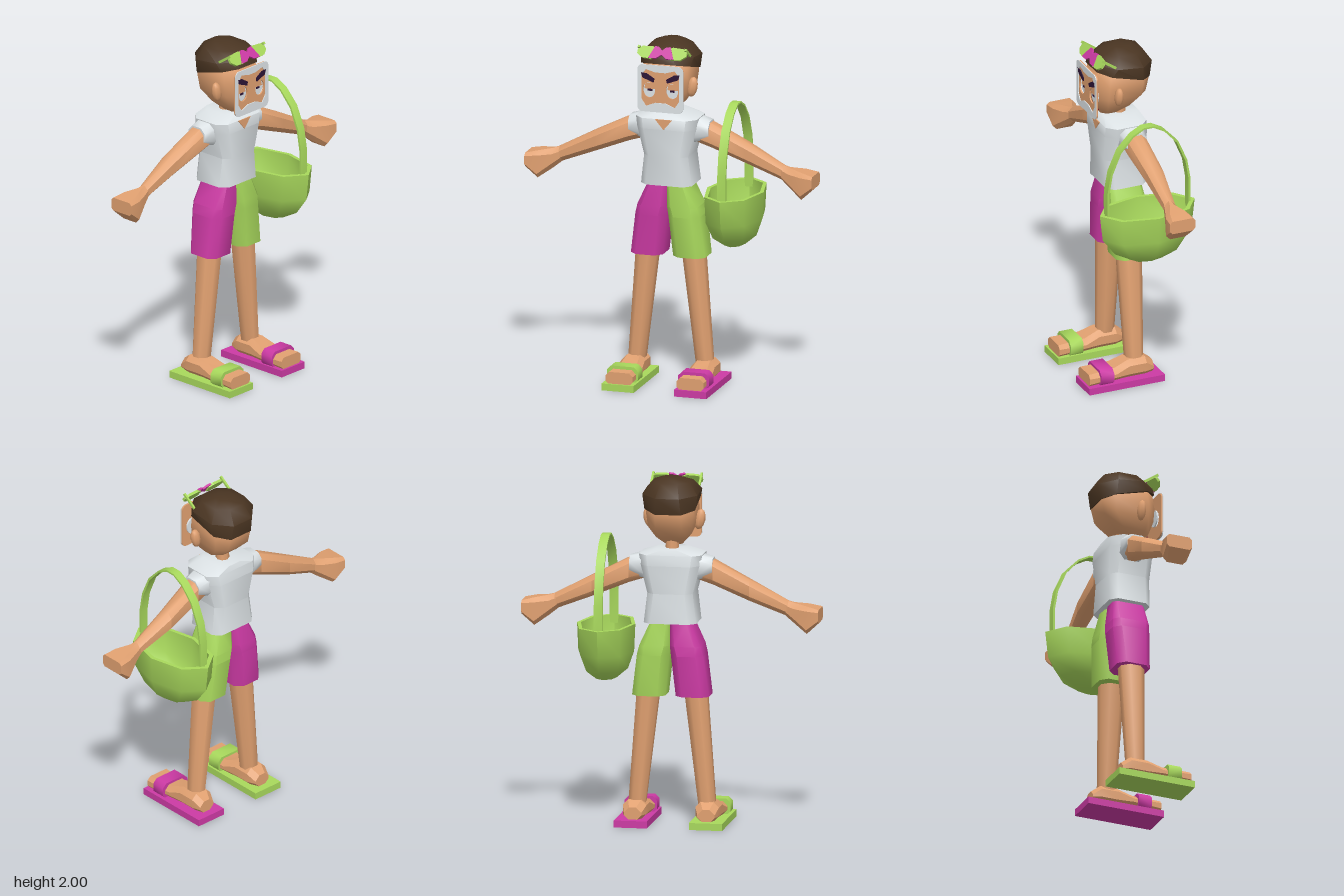
import * as THREE from 'three';
import { toCreasedNormals } from 'three/addons/utils/BufferGeometryUtils.js';

const mat = (name, color) => new THREE.MeshStandardMaterial({ name, color });

// Eight-sided ring (rectangle with cut corners) across one axis; slope tilts it along the second side
function oct(axis, t, a0, a1, b0, b1, c = 0.03, slope = 0) {
  c = Math.min(c, (a1 - a0) * 0.45, (b1 - b0) * 0.45);
  const pts = [[a0 + c, b0], [a1 - c, b0], [a1, b0 + c], [a1, b1 - c],
    [a1 - c, b1], [a0 + c, b1], [a0, b1 - c], [a0, b0 + c]];
  return pts.map(([a, b]) => {
    const h = t + slope * b;
    return axis === 'y' ? [a, h, b] : axis === 'x' ? [h, a, b] : [a, b, h];
  });
}

// Skin a stack of rings, close both ends and make every face point outward
function loft(rings, side = 1, crease = 0.8) {
  const n = rings[0].length, tris = [];
  const P = rings.map(r => r.map(([x, y, z]) => new THREE.Vector3(x * side, y, z)));
  const mid = r => r.reduce((s, p) => s.add(p), new THREE.Vector3()).divideScalar(n);
  const first = mid(P[0]), last = mid(P[P.length - 1]);
  for (let i = 0; i < n; i++) {
    const j = (i + 1) % n;
    tris.push([first, P[0][j], P[0][i]]);
    for (let k = 0; k < P.length - 1; k++) {
      tris.push([P[k][i], P[k][j], P[k + 1][j]], [P[k][i], P[k + 1][j], P[k + 1][i]]);
    }
    tris.push([last, P[P.length - 1][i], P[P.length - 1][j]]);
  }
  const cross = new THREE.Vector3();
  const volume = tris.reduce((v, [a, b, c]) => v + a.dot(cross.crossVectors(b, c)), 0);
  const out = [];
  for (const [a, b, c] of tris) for (const p of volume < 0 ? [a, c, b] : [a, b, c]) out.push(p.x, p.y, p.z);
  const g = new THREE.BufferGeometry();
  g.setAttribute('position', new THREE.Float32BufferAttribute(out, 3));
  return toCreasedNormals(g, crease);
}

const polygon = pts => new THREE.Shape(pts.map(p => new THREE.Vector2(...p)));
const plate = (shape, depth) => new THREE.ExtrudeGeometry(shape, { depth, bevelEnabled: false, curveSegments: 10 });

function roundRect(x0, x1, y0, y1, r, Type = THREE.Shape) {
  const s = new Type();
  s.absarc(x1 - r, y1 - r, r, 0, Math.PI / 2);
  s.absarc(x0 + r, y1 - r, r, Math.PI / 2, Math.PI);
  s.absarc(x0 + r, y0 + r, r, Math.PI, Math.PI * 1.5);
  s.absarc(x1 - r, y0 + r, r, Math.PI * 1.5, Math.PI * 2);
  s.closePath();
  return s;
}

export function createModel() {
  const model = new THREE.Group();
  const skin = mat('skin', 0xe0a070), shirt = mat('shirt white', 0xdde3e6), hairMat = mat('hair brown', 0x4a3522);
  const green = mat('lime green', 0xa8d85c), magenta = mat('magenta', 0xcc3aa4);
  const dark = mat('brow purple', 0x2c1436), red = mat('mouth red', 0x7a1c2c);
  const add = (name, geo, material, x = 0, y = 0, z = 0, parent = model) => {
    const m = new THREE.Mesh(geo, material);
    m.name = name;
    m.position.set(x, y, z);
    parent.add(m);
    return m;
  };

  // Torso with neckline
  add('shirt', loft([
    oct('y', 1.17, -0.15, 0.15, -0.13, 0.12, 0.04),
    oct('y', 1.34, -0.13, 0.13, -0.125, 0.125, 0.04),
    oct('y', 1.5, -0.172, 0.172, -0.13, 0.133, 0.05),
    oct('y', 1.56, -0.18, 0.18, -0.12, 0.13, 0.05),
    oct('y', 1.59, -0.085, 0.085, -0.11, 0.1, 0.04)]), shirt);
  add('neckline', plate(polygon([[-0.05, 1.56], [0, 1.5], [0.05, 1.56]]), 0.006), skin, 0, 0, 0.13);
  add('neck', new THREE.CylinderGeometry(0.035, 0.04, 0.14, 8), skin, 0, 1.62, -0.01);

  for (const s of [1, -1]) {
    const sideName = s > 0 ? 'left' : 'right';
    const add2 = (name, rings, material, crease) => add(sideName + name, loft(rings, s, crease), material);
    // Shorts
    add2('ShortsLeg', [
      oct('y', 0.75, 0.03, 0.22, -0.11, 0.09, 0.04),
      oct('y', 0.985, 0.005, 0.19, -0.125, 0.1, 0.04),
      oct('y', 1.04, 0, 0.175, -0.12, 0.1, 0.03),
      oct('y', 1.17, 0, 0.115, -0.1, 0.09, 0.02)], s > 0 ? green : magenta);
    // Bare leg and foot
    add2('Leg', [
      oct('y', 0.1, 0.155, 0.25, -0.06, 0.04, 0.028),
      oct('y', 0.76, 0.075, 0.2, -0.08, 0.065, 0.04),
      oct('y', 0.85, 0.07, 0.18, -0.08, 0.065, 0.04)], skin);
    add2('Foot', [
      oct('z', -0.11, 0.16, 0.26, 0.035, 0.11),
      oct('z', -0.06, 0.14, 0.275, 0.035, 0.145),
      oct('z', 0.045, 0.14, 0.275, 0.035, 0.145),
      oct('z', 0.13, 0.13, 0.285, 0.035, 0.115),
      oct('z', 0.298, 0.13, 0.29, 0.035, 0.108, 0.02)], skin, 0.6);
    // Sandal
    const sandal = s > 0 ? magenta : green;
    add(sideName + 'Sole', new THREE.BoxGeometry(0.19, 0.04, 0.465), sandal, s * 0.215, 0.02, 0.0775);
    add2('SandalStrap', [0.155, 0.235].map(z => oct('z', z, 0.118, 0.303, 0.03, 0.128, 0.025)), sandal);
    // Sleeve, arm and fist
    add2('Sleeve', [
      oct('x', 0.11, 1.41, 1.56, -0.085, 0.07),
      oct('x', 0.16, 1.42, 1.56, -0.085, 0.065),
      oct('x', 0.238, 1.438, 1.54, -0.075, 0.05)], shirt);
    add2('Arm', [
      oct('x', 0.14, 1.42, 1.54, -0.06, 0.04),
      oct('x', 0.24, 1.39, 1.53, -0.072, 0.042),
      oct('x', 0.45, 1.305, 1.425, -0.08, 0.02),
      oct('x', 0.68, 1.215, 1.305, -0.055, 0.005)], skin);
    add2('Fist', [
      oct('x', 0.65, 1.225, 1.315, -0.055, 0.005),
      oct('x', 0.7, 1.185, 1.3, -0.065, 0.02),
      oct('x', 0.78, 1.13, 1.288, -0.095, 0.05, 0.025),
      oct('x', 0.85, 1.195, 1.272, -0.1, 0.055, 0.015)], skin, 0.6);
    // Ear
    const ear = add(sideName + 'Ear', new THREE.SphereGeometry(1, 8, 6), skin, s * 0.145, 1.745, 0.055);
    ear.scale.set(0.032, 0.06, 0.026);
    ear.rotation.z = -s * 0.2;
    // Eye set on the face behind the mask opening
    const eye = add(sideName + 'Eye', new THREE.CylinderGeometry(1, 1, 0.008, 16), shirt, s * 0.068, 1.745, 0.168);
    eye.rotation.x = Math.PI / 2;
    eye.scale.set(0.042, 1, 0.05);
    add(sideName + 'Eyelid', plate(polygon([[-0.032, 0], [0.032, 0], [0.024, 0.034], [-0.024, 0.034]]), 0.004),
      skin, s * 0.068, 1.748, 0.172);
    add(sideName + 'Pupil', new THREE.BoxGeometry(0.026, 0.012, 0.005), dark, s * 0.066, 1.742, 0.175);
  }

  // Head and hair
  add('head', loft([
    oct('y', 1.605, -0.05, 0.05, 0, 0.115),
    oct('y', 1.65, -0.09, 0.09, -0.07, 0.138, 0.04),
    oct('y', 1.72, -0.125, 0.125, -0.14, 0.158, 0.05),
    oct('y', 1.8, -0.135, 0.135, -0.16, 0.165, 0.06),
    oct('y', 1.88, -0.13, 0.13, -0.155, 0.155, 0.06),
    oct('y', 1.95, -0.08, 0.08, -0.1, 0.1, 0.05)], 1, 1), skin);
  add('mouth', new THREE.BoxGeometry(0.07, 0.03, 0.02), red, 0, 1.645, 0.13);
  add('hair', loft([
    oct('y', 1.847, -0.145, 0.145, -0.165, 0.163, 0.07, 0.27),
    oct('y', 1.915, -0.158, 0.158, -0.182, 0.155, 0.09, 0.1),
    oct('y', 1.975, -0.11, 0.11, -0.13, 0.1, 0.06),
    oct('y', 2, -0.05, 0.05, -0.08, 0.02, 0.03)], 1, 0.9), hairMat);

  // Flat face mask with eye openings, whiskered border, moustache and brows
  const mask = new THREE.Group();
  mask.name = 'faceMask';
  model.add(mask);
  const face = roundRect(-0.133, 0.133, 1.62, 1.89, 0.03);
  for (const s of [1, -1]) {
    face.holes.push(new THREE.Path().absellipse(s * 0.068, 1.745, 0.036, 0.045, 0, Math.PI * 2));
    add('brow', plate(polygon([[-0.115, 1.845], [-0.105, 1.815], [-0.04, 1.79], [-0.035, 1.812], [-0.08, 1.84]]
      .map(([x, y]) => [x * -s, y])), 0.005), dark, 0, 0, 0.189, mask);
  }
  add('maskPlate', plate(face, 0.009), skin, 0, 0, 0.179, mask);
  const border = roundRect(-0.135, 0.135, 1.618, 1.892, 0.03);
  border.holes.push(new THREE.Path([[-0.112, 1.69], [-0.112, 1.83], [-0.085, 1.865], [-0.03, 1.85], [0.03, 1.85],
    [0.085, 1.865], [0.112, 1.83], [0.112, 1.69], [0.085, 1.65], [0.03, 1.672], [-0.03, 1.672], [-0.085, 1.65]]
    .map(p => new THREE.Vector2(...p))));
  add('whiskerBorder', plate(border, 0.005), shirt, 0, 0, 0.188, mask);

  // Swim goggles pushed up on the hair
  const goggles = new THREE.Group();
  goggles.name = 'goggles';
  goggles.position.set(0, 1.955, 0.158);
  goggles.rotation.x = -0.62;
  model.add(goggles);
  for (const s of [1, -1]) {
    const shape = pts => polygon(pts.map(([x, y]) => [x * s, y]));
    add('lens', plate(shape([[0.03, -0.02], [0.06, -0.038], [0.115, -0.034], [0.145, -0.01], [0.145, 0.015],
      [0.12, 0.034], [0.06, 0.038], [0.03, 0.025]]), 0.015), green, 0, 0, -0.01, goggles);
    add('bridge', plate(shape([[0, -0.012], [0.03, -0.035], [0.075, -0.036], [0.045, 0.038], [0.02, 0.034],
      [0, 0.014]]), 0.012), magenta, 0, 0, -0.003, goggles);
    const strap = add('goggleStrap', new THREE.BoxGeometry(0.012, 0.014, 0.13), green, s * 0.138, 1.95, 0.105);
    strap.rotation.x = -0.6;
  }

  // Basket: outer wall, rim and inner wall in one skin
  const basket = new THREE.Group();
  basket.name = 'basket';
  basket.position.set(0.378, 0, -0.015);
  model.add(basket);
  const bowl = [[0.835, 0.06, 0.1], [0.89, 0.125, 0.2], [0.99, 0.16, 0.275], [1.145, 0.167, 0.293],
    [1.145, 0.145, 0.265], [1, 0.138, 0.25], [0.91, 0.105, 0.18], [0.865, 0.05, 0.09]];
  add('basketBowl', loft(bowl.map(([y, rx, rz]) => Array.from({ length: 8 }, (_, i) => {
    const a = i * Math.PI / 4;
    return [rx * Math.cos(a), y, rz * Math.sin(a)];
  })), 1, 0.9), green, 0, 0, 0, basket);

  // Basket handle
  const half = [[0.256, 1.1], [0.256, 1.29], [0.235, 1.41], [0.18, 1.535], [0.1, 1.62], [0.03, 1.657]];
  const arch = [...half, ...half.map(([x, y]) => [-x, y]).reverse()];
  const inner = arch.map(([x, y]) => [x * 0.955, y > 1.2 ? y - 0.01 : y]).reverse();
  const handle = plate(polygon([...arch, ...inner]), 0.05);
  handle.translate(0, 0, -0.025).rotateY(-Math.PI / 2);
  add('basketHandle', toCreasedNormals(handle, 0.8), green, 0, 0, 0, basket);

  return model;
}
